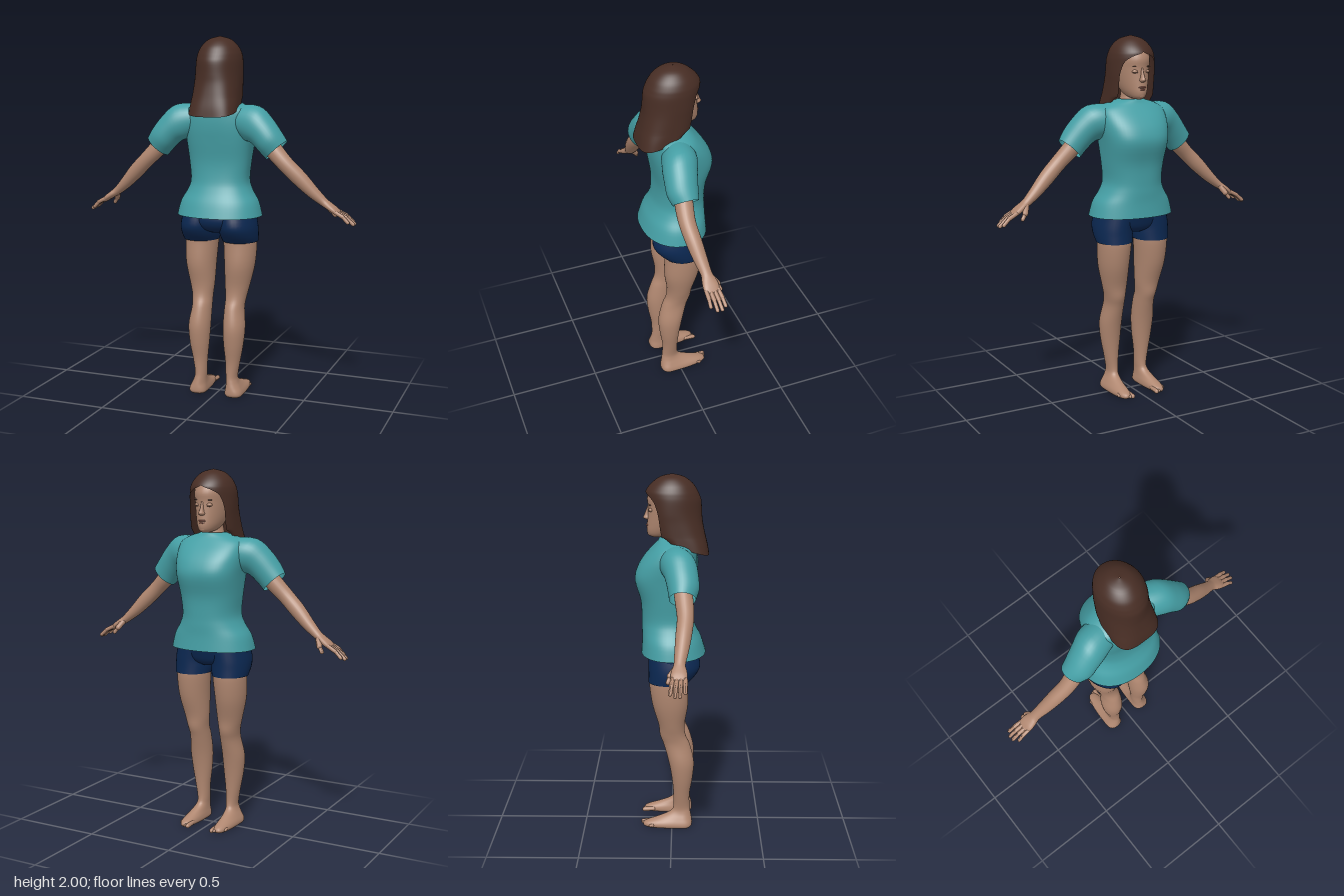
import * as THREE from 'three';
import { mergeVertices } from 'three/addons/utils/BufferGeometryUtils.js';

const mat = (name, color, side = THREE.FrontSide) => {
  const m = new THREE.MeshStandardMaterial({ color, side });
  m.name = name;
  return m;
};

// Smooth loft, bottom to top. Section: [x, y, z, rx, rFront, rBack, power, tilt, frontGap]
function loft(sections, { n = 36, sub = 4, cap = true } = {}) {
  const S = sections.map(s => [0, 0, 0, 0, 0, 0, 2, 0, 0].map((d, i) => s[i] ?? d));
  const at = i => S[Math.max(0, Math.min(S.length - 1, i))];
  const rows = [];
  for (let i = 0; i < S.length - 1; i++) {
    for (let k = 0; k < sub; k++) {
      const t = k / sub;
      rows.push(S[i].map((b, c) => {
        const a = at(i - 1)[c], d = at(i + 1)[c], e = at(i + 2)[c];
        return b + 0.5 * t * (d - a + t * (2 * a - 5 * b + 4 * d - e + t * (3 * (b - d) + e - a)));
      }));
    }
  }
  rows.push(S[S.length - 1]);
  const pos = [], idx = [];
  for (const [x, y, z, rx, rf, rb, p, tilt, gap] of rows) {
    const g = Math.max(0, gap);
    for (let j = 0; j <= n; j++) {
      const t = -Math.PI / 2 + g + (2 * Math.PI - 2 * g) * j / n;
      const c = Math.cos(t), s = Math.sin(t);
      const u = rx * Math.sign(c) * Math.abs(c) ** (2 / p);
      const v = (s < 0 ? rf : rb) * Math.sign(s) * Math.abs(s) ** (2 / p);
      pos.push(x + u * Math.cos(tilt), y + u * Math.sin(tilt), z + v);
    }
  }
  const w = n + 1;
  for (let i = 0; i < rows.length - 1; i++) {
    for (let j = 0; j < n; j++) {
      const a = i * w + j, c = a + w;
      idx.push(a, c, a + 1, a + 1, c, c + 1);
    }
  }
  if (cap) {
    const low = pos.length / 3, top = (rows.length - 1) * w;
    pos.push(...rows[0].slice(0, 3), ...rows[rows.length - 1].slice(0, 3));
    for (let j = 0; j < n; j++) idx.push(low, j, j + 1, low + 1, top + j + 1, top + j);
  }
  const geo = new THREE.BufferGeometry();
  geo.setAttribute('position', new THREE.Float32BufferAttribute(pos, 3));
  geo.setIndex(idx);
  const out = mergeVertices(geo, 1e-5);
  out.computeVertexNormals();
  return out;
}

// Rounded rod between two points
function rod(a, b, r) {
  const A = new THREE.Vector3(...a), B = new THREE.Vector3(...b), d = B.clone().sub(A);
  const geo = new THREE.CapsuleGeometry(r, d.length(), 5, 12);
  geo.applyQuaternion(new THREE.Quaternion().setFromUnitVectors(new THREE.Vector3(0, 1, 0), d.normalize()));
  return geo.translate(...A.add(B).multiplyScalar(0.5).toArray());
}

const blob = (x, y, z, rx, ry, rz) => new THREE.SphereGeometry(1, 20, 14).scale(rx, ry, rz).translate(x, y, z);

// Reflected copy in x, with the winding turned back
function mirror(geo) {
  const g = geo.clone().scale(-1, 1, 1), ix = g.index.array;
  for (let i = 0; i < ix.length; i += 3) [ix[i], ix[i + 1]] = [ix[i + 1], ix[i]];
  g.computeVertexNormals();
  return g;
}

export function createModel() {
  const root = new THREE.Group();
  root.name = 'woman';
  const skin = mat('skin', 0xb08770);
  const hair = mat('hair', 0x472d24, THREE.DoubleSide);
  const teal = mat('shirt', 0x459fa5, THREE.DoubleSide);
  const navy = mat('shorts', 0x0b2852, THREE.DoubleSide);
  const lip = mat('lips', 0x945a4c);
  const dark = mat('lashes', 0x5c4338);
  const add = (name, geo, m) => {
    const mesh = new THREE.Mesh(geo, m);
    mesh.name = name;
    root.add(mesh);
  };
  const pair = (name, geo, m) => {
    add(name + 'Left', geo, m);
    add(name + 'Right', mirror(geo), m);
  };

  // Legs with feet
  pair('leg', loft([
    [.107, 0, .06, .044, .215, .045, 2.5], [.107, .012, .06, .05, .225, .054, 2.5],
    [.106, .03, .06, .048, .21, .055, 2.4], [.102, .055, .06, .041, .14, .052],
    [.096, .085, .06, .034, .07, .046], [.093, .12, .056, .033, .047, .045],
    [.098, .2, .055, .042, .046, .046], [.102, .3, .055, .056, .055, .062],
    [.103, .4, .048, .062, .066, .076], [.097, .5, .025, .055, .07, .076],
    [.1, .56, .01, .058, .076, .066], [.105, .63, 0, .07, .075, .072],
    [.115, .75, -.01, .085, .098, .1], [.114, .88, -.02, .093, .104, .104], [.11, .95, -.01, .09, .1, .1],
  ]), skin);
  for (let i = 0; i < 5; i++) {
    const x = .077 + i * .016, tip = -.166 + i * i * .0028;
    pair('toe' + (i + 1), rod([x, .016, -.11], [x, .012, tip + (i ? 0 : .002)], i ? .009 : .013), skin);
  }

  // Shorts
  pair('shortsLeg', loft([
    [.115, .88, -.02, .099, .108, .112], [.114, .92, -.005, .105, .122, .135],
    [.112, .97, .005, .106, .133, .15], [.1, 1.04, 0, .105, .13, .145],
  ], { cap: false }), navy);
  add('shortsSeat', loft([
    [0, .935, 0, .05, .09, .09], [0, .96, 0, .17, .115, .13], [0, 1.0, 0, .21, .13, .15],
    [0, 1.05, 0, .205, .14, .145], [0, 1.11, 0, .18, .13, .13],
  ]), navy);

  // Shirt body and sleeves
  add('shirtBody', loft([
    [0, 1.025, 0, .24, .17, .186, 2.2], [0, 1.1, 0, .22, .165, .162, 2.2],
    [0, 1.16, 0, .184, .166, .132, 2.2], [0, 1.22, 0, .163, .166, .112, 2.3],
    [0, 1.32, 0, .17, .172, .105, 2.5], [0, 1.43, 0, .182, .202, .12, 2.7],
    [0, 1.5, 0, .192, .188, .13, 2.6], [0, 1.56, 0, .195, .15, .133, 2.5],
    [0, 1.61, .01, .185, .115, .118, 2.4], [0, 1.638, .01, .14, .09, .09, 2.2],
    [0, 1.655, .005, .085, .075, .068], [0, 1.662, .005, .07, .066, .06],
  ], { n: 56, cap: false }), teal);
  pair('sleeve', loft([
    [.345, 1.4, .055, .075, .066, .072, 2, .74], [.31, 1.445, .06, .08, .08, .085, 2, .76],
    [.26, 1.5, .052, .087, .088, .09, 2, .88], [.2, 1.538, .04, .1, .1, .092, 2, 1.2],
    [.11, 1.55, .02, .083, .09, .085, 2, 1.57],
  ], { cap: false }), teal);

  // Arms, palms, fingers
  pair('arm', loft([
    [.692, 1.072, .042, .012, .036, .04, 2.6, 1], [.665, 1.093, .043, .017, .042, .043, 2.5, 1],
    [.635, 1.113, .044, .02, .038, .038, 2.2, .95], [.605, 1.134, .046, .024, .03, .03, 2, .85],
    [.55, 1.182, .055, .033, .036, .036, 2, .8], [.48, 1.252, .066, .042, .042, .042, 2, .77],
    [.41, 1.32, .074, .043, .044, .044, 2, .75], [.35, 1.38, .068, .047, .048, .048, 2, .75],
    [.27, 1.47, .055, .05, .05, .05, 2, .85],
  ], { n: 24 }), skin);
  [[.757, 1.03, .001], [.77, 1.022, .024], [.768, 1.022, .049], [.745, 1.034, .076]].forEach(([x, y, z], i) => {
    const base = [.68, 1.083, .012 + i * .021];
    const mid = [(base[0] + x) / 2 + .004, (base[1] + y) / 2 + .005, (base[2] + z) / 2];
    pair('fingerBase' + (i + 1), rod(base, mid, .0115), skin);
    pair('fingerTip' + (i + 1), rod(mid, [x, y, z], .01), skin);
  });
  pair('thumbBase', rod([.618, 1.115, .025], [.636, 1.082, -.002], .016), skin);
  pair('thumbTip', rod([.636, 1.082, -.002], [.655, 1.055, -.012], .011), skin);

  // Neck, head and face
  add('neck', loft([
    [0, 1.58, .01, .07, .06, .06], [0, 1.64, .008, .066, .062, .056],
    [0, 1.68, .005, .053, .052, .055], [0, 1.76, 0, .052, .05, .06],
  ]), skin);
  add('head', loft([
    [0, 1.663, -.085, .016, .022, .03], [0, 1.675, -.06, .04, .068, .06],
    [0, 1.7, -.03, .059, .106, .08], [0, 1.735, -.01, .073, .124, .09],
    [0, 1.78, 0, .083, .131, .105], [0, 1.83, 0, .089, .129, .115],
    [0, 1.88, 0, .092, .132, .12], [0, 1.935, 0, .08, .102, .1], [0, 1.97, 0, .04, .05, .05],
  ]), skin);
  add('nose', loft([
    [0, 1.755, -.122, .012, .012, .01], [0, 1.766, -.124, .018, .031, .01],
    [0, 1.785, -.122, .012, .026, .01], [0, 1.83, -.118, .007, .013, .01],
  ], { n: 16 }), skin);
  add('chin', blob(0, 1.685, -.113, .022, .018, .02), skin);
  add('upperLip', blob(0, 1.728, -.127, .023, .006, .013), lip);
  add('lowerLip', blob(0, 1.716, -.124, .02, .007, .014), lip);
  pair('eyelid', blob(.034, 1.812, -.111, .018, .011, .014), skin);
  pair('lash', blob(.034, 1.806, -.117, .016, .002, .009), dark);
  pair('brow', blob(.036, 1.838, -.116, .02, .003, .006), dark);

  // Long hair, open around the face, with a slanted lower edge
  const hairGeo = loft([
    [0, 1.575, .06, .134, .07, .14, 3.4, 0, 1.0], [0, 1.62, .05, .132, .1, .142, 3, 0, .95],
    [0, 1.68, .03, .13, .12, .148, 2.6, 0, .9], [0, 1.75, .01, .128, .122, .154, 2.3, 0, .95],
    [0, 1.8, 0, .128, .125, .16, 2.1, 0, .95], [0, 1.86, 0, .126, .138, .156, 2, 0, .8],
    [0, 1.89, 0, .122, .142, .146, 2, 0, .5], [0, 1.915, 0, .115, .138, .134, 2, 0, 0],
    [0, 1.95, 0, .096, .11, .11, 2, 0, 0], [0, 1.984, 0, .058, .064, .064, 2, 0, 0],
    [0, 2.0, 0, .002, .002, .002, 2, 0, 0],
  ], { n: 48, cap: false });
  const p = hairGeo.attributes.position;
  for (let i = 0; i < p.count; i++) {
    const low = Math.max(0, (1.68 - p.getY(i)) / .105);
    p.setY(i, p.getY(i) + low * (.2 - p.getZ(i)) * .3);
  }
  hairGeo.computeVertexNormals();
  add('hair', hairGeo, hair);

  return root;
}
